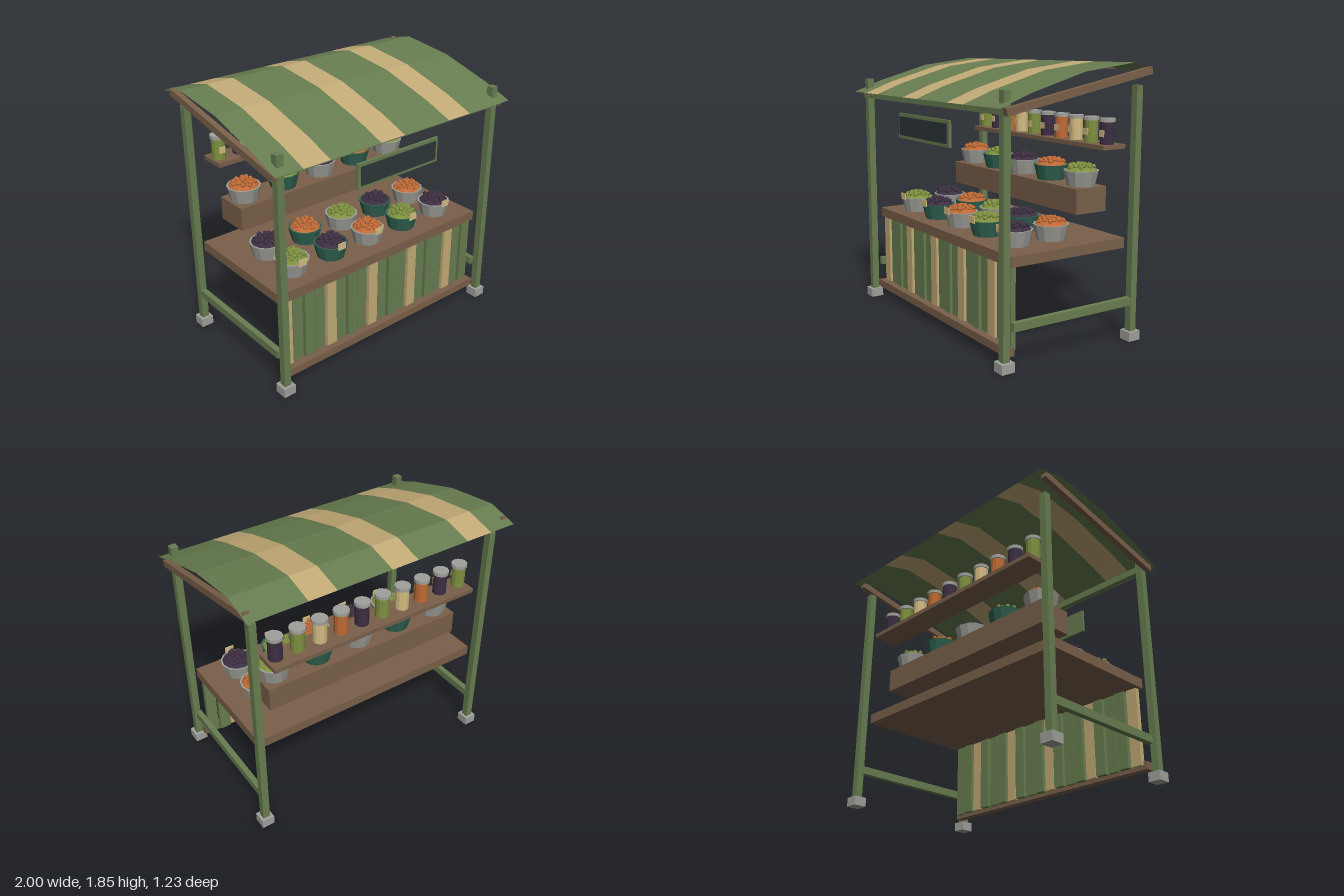
import * as THREE from 'three';
import { mergeGeometries } from 'three/addons/utils/BufferGeometryUtils.js';

const mat = (name, color, extra = {}) => {
  const m = new THREE.MeshStandardMaterial({ color, flatShading: true, ...extra });
  m.name = name;
  return m;
};

export function createModel() {
  const stall = new THREE.Group();
  stall.name = 'marketStall';

  const green = mat('paintedGreen', 0x687d50, { side: THREE.DoubleSide });
  const tan = mat('canvasTan', 0xc3ab77, { side: THREE.DoubleSide });
  const brown = mat('wood', 0x7a604a);
  const grey = mat('zinc', 0xa0a09c);
  const teal = mat('tealEnamel', 0x2f6352);
  const olive = mat('olive', 0x7f9040);
  const purple = mat('plum', 0x3d2f42);
  const orange = mat('orange', 0xbf6a36);
  const slate = mat('slate', 0x2d3739);
  const cream = mat('cream', 0xd4bc82);

  const add = (name, geo, material, x = 0, y = 0, z = 0, parent = stall) => {
    const m = new THREE.Mesh(geo, material);
    m.name = name;
    m.position.set(x, y, z);
    parent.add(m);
    return m;
  };
  // Box given by its extents on each axis
  const box = (name, material, [x0, x1], [y0, y1], [z0, z1], parent) =>
    add(name, new THREE.BoxGeometry(x1 - x0, y1 - y0, z1 - z0), material,
      (x0 + x1) / 2, (y0 + y1) / 2, (z0 + z1) / 2, parent);

  // Posts, feet, side rails and rafters
  for (const s of [-1, 1]) {
    for (const z of [0.525, -0.497]) {
      add('post', new THREE.BoxGeometry(0.05, 1.65, 0.05), green, s * 0.92, 0.88, z);
      add('foot', new THREE.BoxGeometry(0.09, 0.064, 0.094), grey, s * 0.92, 0.032, z);
    }
    add('sideRail', new THREE.BoxGeometry(0.04, 0.055, 0.94), green, s * 0.92, 0.272, 0);
    const rafter = add('rafter', new THREE.BoxGeometry(0.04, 0.048, 1.137), brown, s * 0.97, 1.69, -0.001);
    rafter.rotation.x = 0.194;
  }
  box('frontBeam', green, [-0.94, 0.94], [1.56, 1.61], [0.505, 0.545]);

  // Arched canopy in ten stripes
  const arch = [[0.613, 1.605], [0.4, 1.685], [0, 1.8], [-0.4, 1.85], [-0.62, 1.795]];
  for (let i = 0; i < 10; i++) {
    const geo = new THREE.PlaneGeometry(0.2, 1, 1, arch.length - 1);
    const p = geo.attributes.position;
    for (let k = 0; k < p.count; k++) {
      const [z, y] = arch[arch.length - 1 - Math.floor(k / 2)];
      p.setXYZ(k, p.getX(k), y, z);
    }
    geo.computeVertexNormals();
    add('canopyStripe', geo, i % 3 === 1 ? tan : green, -0.9 + i * 0.2, 0, 0);
  }

  // Counter, display step, jar shelf and kick rail
  box('counter', brown, [-0.9, 0.9], [0.637, 0.706], [-0.44, 0.46]);
  box('displayStep', brown, [-0.768, 0.768], [0.87, 1.038], [-0.386, -0.137]);
  box('jarShelf', brown, [-0.795, 0.793], [1.28, 1.31], [-0.523, -0.333]);
  box('kickRail', brown, [-0.9, 0.9], [0.074, 0.128], [0.436, 0.494]);

  // Front slats
  for (let i = 0; i < 19; i++) {
    const x = -0.836 + i * 0.0929, z = i % 2 ? 0.418 : 0.43;
    box('slat', i % 4 === 0 ? tan : green, [x - 0.04, x + 0.04], [0.1, 0.637], [z - 0.017, z + 0.017]);
  }

  // Hanging board
  box('boardFrame', green, [-0.352, 0.35], [1.313, 1.487], [0.55, 0.568]);
  box('boardFace', slate, [-0.326, 0.326], [1.335, 1.465], [0.568, 0.576]);

  // Jars
  const jarBody = new THREE.CylinderGeometry(0.048, 0.048, 0.15, 12);
  const jarLid = new THREE.CylinderGeometry(0.055, 0.055, 0.024, 12);
  const fillings = [olive, purple, orange, cream];
  for (let i = 0; i < 10; i++) {
    const jar = new THREE.Group();
    jar.name = 'jar';
    jar.position.set(-0.74 + i * 0.163, 1.31, -0.42);
    stall.add(jar);
    add('jarBody', jarBody, fillings[i % 4], 0, 0.075, 0, jar);
    add('jarLid', jarLid, grey, 0, 0.161, 0, jar);
    add('jarLabel', new THREE.BoxGeometry(0.046, 0.045, 0.006), cream, 0, 0.073, 0.048, jar);
  }

  // Tubs heaped with produce
  let seed = 7;
  const rnd = () => (seed = (seed * 16807) % 2147483647) / 2147483647;
  const tubGeo = new THREE.CylinderGeometry(0.12, 0.094, 0.105, 12);
  const moundGeo = new THREE.SphereGeometry(0.107, 12, 3, 0, Math.PI * 2, 0, Math.PI / 2);
  moundGeo.scale(1, 0.28, 1);
  const heap = () => {
    const pieces = [];
    for (let k = 0; k < 20; k++) {
      const a = k * 2.4, r = 0.086 * Math.sqrt(k / 20);
      const g = new THREE.IcosahedronGeometry(0.015 + rnd() * 0.006, 0);
      g.rotateX(rnd() * 3).rotateY(rnd() * 3);
      g.translate(Math.cos(a) * r, 0.143 - r * 0.22 + rnd() * 0.006, Math.sin(a) * r);
      pieces.push(g);
    }
    return mergeGeometries(pieces);
  };
  const rows = [[0.706, 0.27], [0.706, -0.015], [1.038, -0.262]];
  const produce = [olive, purple, orange];
  rows.forEach(([y, z], row) => {
    for (let i = 0; i < 5; i++) {
      const tub = new THREE.Group();
      tub.name = 'produceTub';
      tub.position.set((i - 2) * 0.329, y, z);
      stall.add(tub);
      const fill = produce[(row + i) % 3];
      add('tub', tubGeo, i % 2 ? teal : grey, 0, 0.0525, 0, tub);
      add('mound', moundGeo, fill, 0, 0.105, 0, tub);
      add('produce', heap(), fill, 0, 0, 0, tub);
      if (row === 0) add('priceTag', new THREE.BoxGeometry(0.065, 0.048, 0.008), cream, 0, 0.118, 0.119, tub);
    }
  });

  return stall;
}
